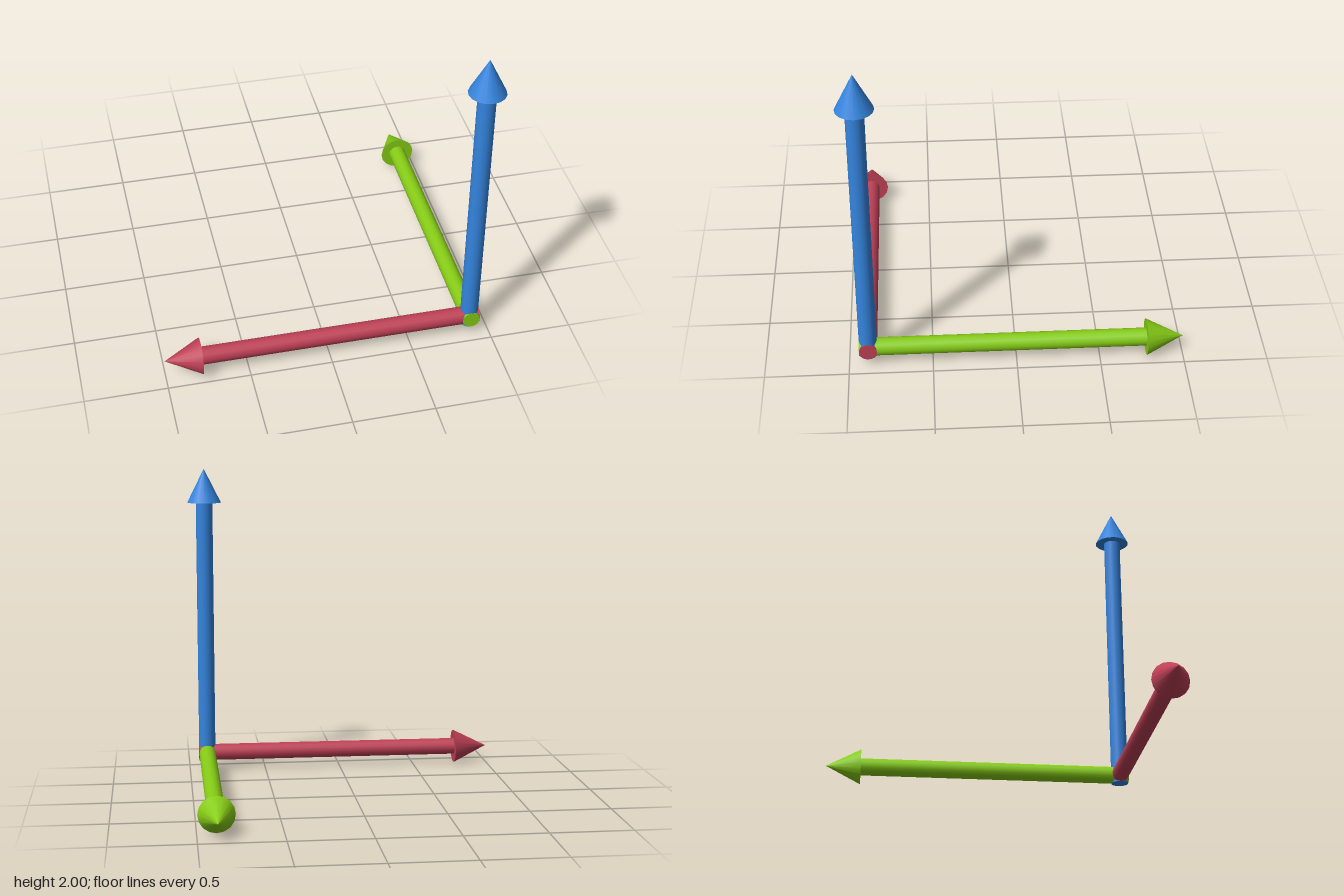
import * as THREE from 'three';

const SHAFT_R = 0.054, HEAD_R = 0.11, HEAD_L = 0.22, LENGTH = 1.885, SIDES = 16;

// One arrow pointing along +y from the shared origin, its shaft overshooting by its own radius
function makeArrow(name, color) {
  const arrow = new THREE.Group();
  arrow.name = name;
  const material = new THREE.MeshStandardMaterial({ color });
  const shaftLength = LENGTH - HEAD_L + SHAFT_R;

  const shaft = new THREE.Mesh(new THREE.CylinderGeometry(SHAFT_R, SHAFT_R, shaftLength, SIDES), material);
  shaft.name = name + 'Shaft';
  shaft.position.y = shaftLength / 2 - SHAFT_R;

  const head = new THREE.Mesh(new THREE.ConeGeometry(HEAD_R, HEAD_L, SIDES), material);
  head.name = name + 'Head';
  head.position.y = LENGTH - HEAD_L / 2;

  arrow.add(shaft, head);
  return arrow;
}

export function createModel() {
  const model = new THREE.Group();
  model.name = 'axisArrows';

  // Three perpendicular arrows meeting at the front left corner
  const up = makeArrow('upArrow', 0x3484de);
  const side = makeArrow('sideArrow', 0xbe4056);
  side.rotation.z = Math.PI / 2;
  const back = makeArrow('backArrow', 0x86cc16);
  back.rotation.x = -Math.PI / 2;

  for (const arrow of [up, side, back]) {
    arrow.position.set(0.885, 0.113, 0.885);
    model.add(arrow);
  }
  return model;
}
